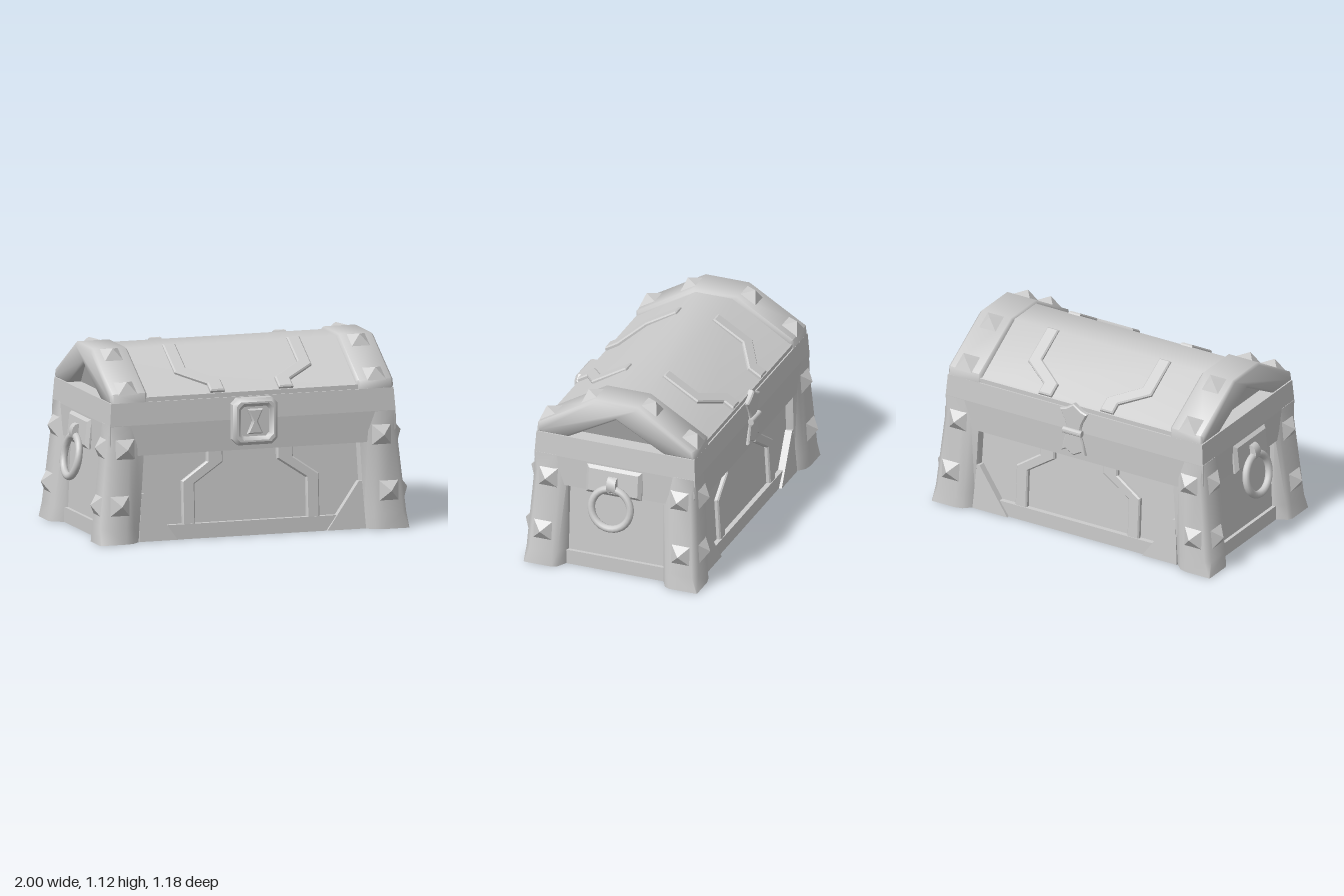
import * as THREE from 'three';
import { toCreasedNormals } from 'three/addons/utils/BufferGeometryUtils.js';

const stone = new THREE.MeshStandardMaterial({ color: 0xcccccc, side: THREE.DoubleSide });
stone.name = 'pale grey';

function add(parent, name, geo, crease = 0.6) {
  const mesh = new THREE.Mesh(toCreasedNormals(geo, crease), stone);
  mesh.name = name;
  parent.add(mesh);
  return mesh;
}

const toShape = (pts) => new THREE.Shape(pts.map(([x, y]) => new THREE.Vector2(x, y)));

function plate(pts, depth, bevel = 0, hole = null) {
  const shape = toShape(pts);
  if (hole) shape.holes.push(toShape(hole));
  return new THREE.ExtrudeGeometry(shape, {
    depth: depth - bevel, bevelEnabled: bevel > 0, bevelThickness: bevel,
    bevelSize: bevel, bevelOffset: -bevel, bevelSegments: 1,
  });
}

// Stack of horizontal cross-sections, each { y, pts: [x, z] counter-clockwise from above }
function loft(levels, capped = true) {
  const n = levels[0].pts.length, pos = [], idx = [];
  levels.forEach((l) => l.pts.forEach(([x, z]) => pos.push(x, l.y, z)));
  for (let i = 0; i < levels.length - 1; i++) {
    for (let j = 0; j < n; j++) {
      const a = i * n + j, b = i * n + (j + 1) % n;
      idx.push(a, b, b + n, a, b + n, a + n);
    }
  }
  if (capped) {
    const flat = levels[0].pts.map(([x, z]) => new THREE.Vector2(x, -z));
    const top = (levels.length - 1) * n;
    for (const [a, b, c] of THREE.ShapeUtils.triangulateShape(flat, [])) {
      idx.push(c, b, a, top + a, top + b, top + c);
    }
  }
  const geo = new THREE.BufferGeometry();
  geo.setAttribute('position', new THREE.Float32BufferAttribute(pos, 3));
  geo.setIndex(idx);
  return geo;
}

const rect = (y, x, z) => ({ y, pts: [[-x, z], [x, z], [x, -z], [-x, -z]] });

const octagon = (r, c) => [
  [r, -r + c], [r, r - c], [r - c, r], [-r + c, r],
  [-r, r - c], [-r, -r + c], [-r + c, -r], [r - c, -r],
];

// Four-sided stud pointing along a normal
function stud(parent, p, normal) {
  const geo = new THREE.ConeGeometry(0.085, 0.05, 4).rotateY(Math.PI / 4).translate(0, 0.025, 0);
  const mesh = add(parent, 'stud', geo, 0.1);
  mesh.position.set(...p);
  mesh.quaternion.setFromUnitVectors(new THREE.Vector3(0, 1, 0), new THREE.Vector3(...normal).normalize());
}

// One corner: post, studs, gusset and half of the angular trim
function corner() {
  const g = new THREE.Group();
  // Post section with bevelled inner flanks that fall back to the recessed panels
  const section = (y, c) => {
    const t = y / 0.84;
    const X = 0.97 - 0.085 * t, Z = 0.555 - 0.05 * t, e = 0.7 - 0.05 * t;
    return { y, pts: [
      [e, 0.45], [e + 0.01, 0.495], [e + 0.06, Z - 0.012], [e + 0.11, Z], [X - c, Z],
      [X, Z - c], [X, 0.375], [X - 0.015, 0.345], [0.882, 0.305], [0.855, 0.3], [0.855, 0.45],
    ] };
  };
  add(g, 'cornerPost', loft([section(0.005, 0.005), section(0.1, 0.03), section(0.6, 0.03), section(0.715, 0.006)]), 0.85);

  stud(g, [0.845, 0.235, 0.54], [0, 0.06, 1]);
  stud(g, [0.805, 0.57, 0.52], [0, 0.06, 1]);
  stud(g, [0.945, 0.23, 0.44], [1, 0.1, 0]);
  stud(g, [0.91, 0.57, 0.42], [1, 0.1, 0]);
  stud(g, [0.775, 1.083, 0.19], [0, 0.36, 0.215]);
  stud(g, [0.78, 0.925, 0.455], [0, 0.36, 0.215]);

  const gusset = add(g, 'gusset', plate([[0.47, 0.005], [0.712, 0.005], [0.692, 0.29], [0.672, 0.29]], 0.045));
  gusset.position.z = 0.465;
  gusset.rotation.x = -0.057;

  const wallTrim = add(g, 'wallTrim', plate([
    [0.27, 0.53], [0.27, 0.46], [0.43, 0.35], [0.43, 0.08],
    [0.35, 0.08], [0.35, 0.33], [0.17, 0.45], [0.17, 0.53],
  ], 0.03, 0.008));
  wallTrim.position.z = 0.462;
  wallTrim.rotation.x = -0.057;

  // Trim points are x and z on the lid, laid along its slope
  const slope = [
    [0.43, 0.11], [0.43, 0.33], [0.26, 0.43], [0.26, 0.49],
    [0.17, 0.49], [0.17, 0.41], [0.35, 0.3], [0.35, 0.11],
  ].map(([x, z]) => [x, (0.48 - z) * 1.165]);
  const lidTrim = add(g, 'lidTrim', plate(slope, 0.025, 0.008));
  lidTrim.position.set(0, 0.878, 0.48);
  lidTrim.rotation.x = -1.033;
  return g;
}

// One end: lid strap, leaning gable, ring handle and its backing
function end() {
  const g = new THREE.Group();
  const arch = [
    [-0.505, 0.84], [-0.31, 0.84], [0, 1.01], [0.31, 0.84], [0.505, 0.84],
    [0.5, 0.9], [0.14, 1.117], [-0.14, 1.117], [-0.5, 0.9],
  ];
  add(g, 'lidStrap', plate(arch, 0.215, 0.015).rotateY(Math.PI / 2).translate(0.672, 0, 0), 1);

  const gable = new THREE.BufferGeometry();
  gable.setAttribute('position', new THREE.Float32BufferAttribute(
    [0.79, 0.84, 0.325, 0.79, 0.84, -0.325, 0.872, 1.02, 0], 3));
  add(g, 'gable', gable);

  const mount = new THREE.Group();
  mount.name = 'handle';
  mount.position.set(0.893, 0.61, 0);
  mount.rotation.z = 0.1;
  g.add(mount);
  const backing = [[-0.177, -0.09], [0.177, -0.09], [0.177, 0.09], [-0.177, 0.09]];
  add(mount, 'handlePlate', plate(backing, 0.03, 0.02).rotateY(Math.PI / 2));
  add(mount, 'handleClip', new THREE.CylinderGeometry(0.042, 0.042, 0.056, 12).rotateX(Math.PI / 2).scale(0.85, 1.2, 1).translate(0.035, -0.012, 0));
  const ring = add(mount, 'handleRing', new THREE.TorusGeometry(0.124, 0.023, 10, 28).rotateY(Math.PI / 2), 1);
  ring.position.set(0.05, -0.158, 0);
  ring.rotation.z = 0.07;

  add(g, 'sideSill', new THREE.BoxGeometry(0.03, 0.09, 0.66).translate(0.878, 0.05, 0));
  return g;
}

export function createModel() {
  const model = new THREE.Group();
  model.name = 'chest';

  // Recessed walls, inner floor and the wide band under the lid
  add(model, 'walls', loft([rect(0.005, 0.875, 0.465), rect(0.53, 0.855, 0.435)], false));
  add(model, 'floor', new THREE.BoxGeometry(1.7, 0.01, 0.89).translate(0, 0.32, 0));
  add(model, 'band', loft([rect(0.525, 0.895, 0.505), rect(0.71, 0.896, 0.513), rect(0.845, 0.886, 0.505)]), 0.02);
  for (const s of [1, -1]) {
    add(model, 'sill', new THREE.BoxGeometry(1.4, 0.09, 0.03).translate(0, 0.05, s * 0.476));
  }

  // Lid
  add(model, 'lid', plate([
    [-0.497, 0.842], [0.497, 0.842], [0.497, 0.872], [0.48, 0.88],
    [0.12, 1.105], [-0.12, 1.105], [-0.48, 0.88], [-0.497, 0.872],
  ], 1.4).rotateY(Math.PI / 2).translate(-0.7, 0, 0));

  for (const sx of [1, -1]) {
    const e = end();
    e.name = sx > 0 ? 'leftEnd' : 'rightEnd';
    e.scale.x = sx;
    model.add(e);
    for (const sz of [1, -1]) {
      const c = corner();
      c.name = (sz > 0 ? 'front' : 'back') + (sx > 0 ? 'Left' : 'Right') + 'Corner';
      c.scale.set(sx, 1, sz);
      model.add(c);
    }
  }

  // Front lock: framed octagon with a waisted ornament
  const lock = new THREE.Group();
  lock.name = 'frontLock';
  lock.position.set(0, 0.7, 0.495);
  model.add(lock);
  add(lock, 'lockFrame', plate(octagon(0.14, 0.035), 0.08, 0.02, octagon(0.09, 0.02)));
  add(lock, 'lockPlate', plate(octagon(0.115, 0.03), 0.05));
  add(lock, 'lockOrnament', plate([
    [-0.05, -0.075], [0.05, -0.075], [0.018, 0], [0.05, 0.075], [-0.05, 0.075], [-0.018, 0],
  ], 0.068, 0.01));

  // Back hinge: pointed plate and a knuckle
  const hinge = new THREE.Group();
  hinge.name = 'backHinge';
  hinge.position.set(0, 0.71, -0.492);
  hinge.rotation.y = Math.PI;
  model.add(hinge);
  const half = [[0, -0.16], [0.055, -0.13], [0.085, -0.145], [0.065, -0.06], [0.045, 0],
    [0.06, 0.06], [0.095, 0.13], [0.05, 0.145], [0, 0.18]];
  const mirrored = half.slice(1, -1).reverse().map(([x, y]) => [-x, y]);
  add(hinge, 'hingePlate', plate([...half, ...mirrored], 0.035, 0.008));
  add(hinge, 'hingeKnuckle', new THREE.CylinderGeometry(0.02, 0.02, 0.13, 12).rotateZ(Math.PI / 2).translate(0, 0, 0.038));
  return model;
}
